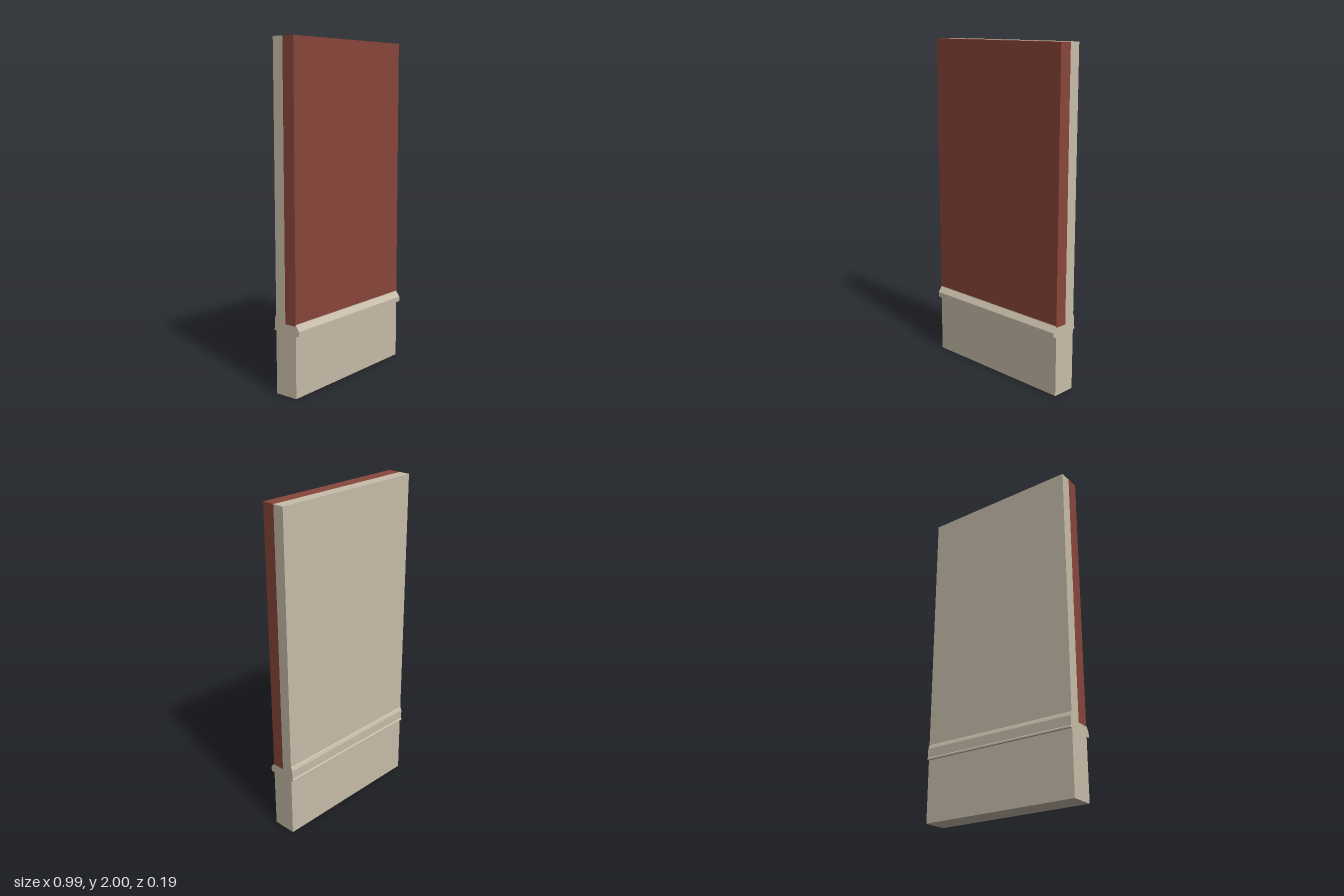
import * as THREE from 'three';

const WIDTH = 0.988;

// Extrudes a [z, y] cross-section along the full width of the panel.
function strip(name, section, material) {
  const shape = new THREE.Shape(section.map(([z, y]) => new THREE.Vector2(-z, y)));
  const geometry = new THREE.ExtrudeGeometry(shape, { depth: WIDTH, bevelEnabled: false });
  geometry.translate(0, 0, -WIDTH / 2);
  geometry.rotateY(Math.PI / 2);
  const mesh = new THREE.Mesh(geometry, material);
  mesh.name = name;
  return mesh;
}

export function createModel() {
  const plaster = new THREE.MeshStandardMaterial({ color: 0xc8bdaa });
  plaster.name = 'beige plaster';
  const brick = new THREE.MeshStandardMaterial({ color: 0x89463a });
  brick.name = 'red brick';

  const group = new THREE.Group();
  group.name = 'wallPanel';

  // Thick plinth at the bottom, thinner backing wall above it
  group.add(strip('plinthAndBackingWall', [
    [0.069, 0], [0.069, 0.42], [-0.008, 0.42], [-0.008, 2], [-0.077, 2], [-0.077, 0],
  ], plaster));

  // Brick facing resting on the plinth
  group.add(strip('brickFacing', [
    [0.069, 0.42], [0.069, 2], [-0.008, 2], [-0.008, 0.42],
  ], brick));

  // Sloping sill along the front
  group.add(strip('frontSill', [
    [0.069, 0.363], [0.093, 0.363], [0.093, 0.393], [0.07, 0.425], [0.069, 0.43],
  ], plaster));

  // Chair rail along the back, with a stepped top
  group.add(strip('backRail', [
    [-0.077, 0.372], [-0.092, 0.372], [-0.092, 0.38], [-0.087, 0.385],
    [-0.087, 0.44], [-0.081, 0.458], [-0.077, 0.464],
  ], plaster));

  return group;
}
